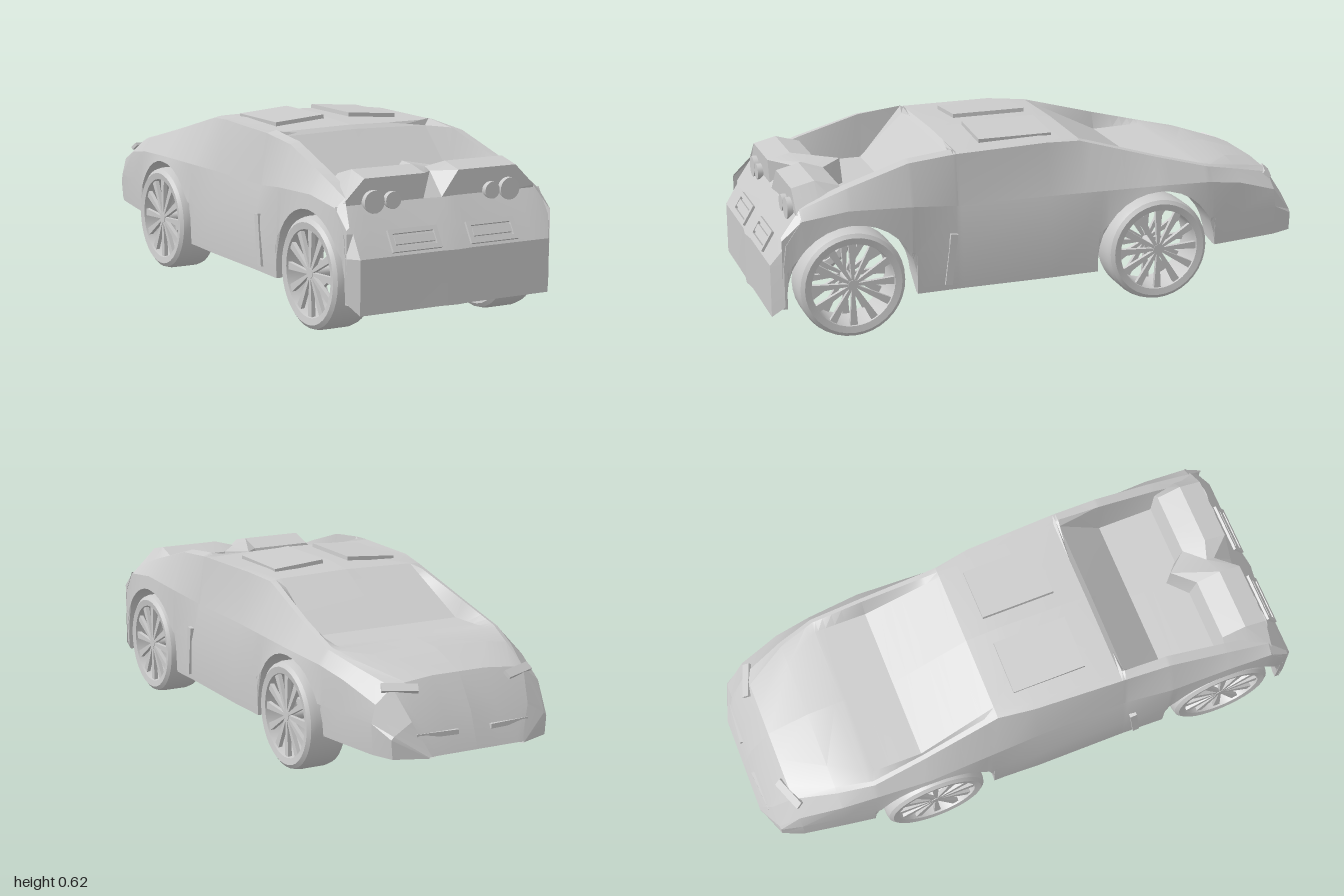
import * as THREE from 'three';
import { toCreasedNormals } from 'three/addons/utils/BufferGeometryUtils.js';

const mat = new THREE.MeshStandardMaterial({ color: 0xcccccc, side: THREE.DoubleSide });

// Surface through rows of [x, y, z] points
function grid(rows) {
  const n = rows[0].length, index = [];
  for (let i = 0; i < rows.length - 1; i++)
    for (let j = 0; j < n - 1; j++) {
      const a = i * n + j, c = a + n;
      index.push(a, a + 1, c, a + 1, c + 1, c);
    }
  const g = new THREE.BufferGeometry();
  g.setAttribute('position', new THREE.Float32BufferAttribute(rows.flat(2), 3));
  g.setIndex(index);
  return toCreasedNormals(g, 0.3);
}

function add(parent, name, geo, x = 0, y = 0, z = 0) {
  const m = new THREE.Mesh(geo, mat);
  m.name = name;
  m.position.set(x, y, z);
  parent.add(m);
  return m;
}

// Linear interpolation in a table whose first column is z
function sample(table, z) {
  let i = 0;
  while (i < table.length - 2 && z > table[i + 1][0]) i++;
  const a = table[i], b = table[i + 1];
  const t = THREE.MathUtils.clamp((z - a[0]) / (b[0] - a[0]), 0, 1);
  return a.map((v, k) => v + (b[k] - v) * t);
}

// z, flank x, waist x y, outer crest x y
const SIDE = [
  [-1, .18, .18, .178, .17, .179], [-.955, .295, .285, .25, .22, .29],
  [-.88, .325, .31, .34, .25, .39], [-.73, .35, .345, .39, .30, .43],
  [-.6, .37, .36, .41, .33, .46], [-.41, .38, .375, .42, .32, .51],
  [-.13, .38, .365, .42, .30, .59], [0, .385, .36, .42, .32, .6],
  [.33, .385, .36, .42, .335, .595], [.5, .39, .385, .44, .34, .58],
  [.72, .395, .39, .45, .35, .515], [.88, .395, .39, .43, .355, .46], [.95, .39, .39, .37, .38, .38],
];
// z, inner crest x y, deck x y, centre y
const TOP = [
  [-1, .15, .18, .08, .18, .18], [-.955, .2, .295, .1, .295, .3],
  [-.88, .2, .4, .1, .41, .41], [-.73, .28, .44, .2, .452, .458],
  [-.6, .315, .465, .28, .46, .462], [-.41, .305, .515, .28, .455, .455],
  [-.13, .28, .595, .26, .596, .602], [0, .29, .602, .14, .608, .612],
  [.32, .3, .593, .15, .597, .6], [.34, .305, .605, .29, .58, .587],
  [.5, .305, .587, .29, .43, .43], [.72, .315, .52, .29, .43, .43],
  [.88, .32, .462, .3, .42, .42], [.95, .33, .385, .3, .38, .38],
];
const ARCHES = [-.4, .71], ARCH_R = .225, ARCH_Y = .175;

// Height of the wheel arch at z, 0 outside the arches
function archY(z) {
  for (const c of ARCHES) {
    const d = ARCH_R ** 2 - (z - c) ** 2;
    if (d > 1e-9) return ARCH_Y + Math.sqrt(d);
  }
  return 0;
}

// Half section: inner return, sill, flank, waist, crests, deck, centre
function section(z, s) {
  const [, xm, xw, yw, xe, ye] = sample(SIDE, z);
  const [, xf, yf, xg, yg, yc] = sample(TOP, z);
  const arch = archY(z), yb = arch || (z < -.5 ? .175 : .13);
  const ym = Math.max(yb, Math.min(.28, yw - .01));
  return [[xm - (arch ? .1 : .025), yb], [xm - .005, yb], [xm, ym], [xw, yw], [xe, ye], [xf, yf], [xg, yg], [0, yc]]
    .map(([x, y]) => [s * x, y, z]);
}

function stations(z0, z1) {
  const zs = [z0, z1, ...SIDE.map(r => r[0]), ...TOP.map(r => r[0])];
  for (const c of ARCHES) {
    zs.push(c - ARCH_R - .001, c + ARCH_R + .001);
    for (let k = 0; k <= 16; k++) zs.push(c + (ARCH_R - .0005) * Math.cos(Math.PI * k / 16));
  }
  return [...new Set(zs)].filter(z => z >= z0 && z <= z1).sort((a, b) => a - b);
}

function strip(z0, z1, from, to, s) {
  const rows = stations(z0, z1).map(z => section(z, s).slice(from, to + 1));
  return grid(s > 0 ? rows : rows.reverse());
}

function makeWheel() {
  const w = new THREE.Group();
  const r = [[.142, -.05], [.145, -.07], [.168, -.074], [.181, -.064], [.186, -.045], [.186, .045],
    [.181, .064], [.168, .074], [.145, .07], [.142, .05], [.142, -.05]];
  const tyre = new THREE.LatheGeometry(r.map(p => new THREE.Vector2(...p)), 36);
  add(w, 'tyre', toCreasedNormals(tyre, .6)).rotation.z = -Math.PI / 2;
  add(w, 'hub', new THREE.CylinderGeometry(.018, .018, .13, 16)).rotation.z = -Math.PI / 2;
  // Tapered spokes on both faces
  for (const x of [-.056, .056])
    for (let i = 0; i < 12; i++) {
      const spoke = new THREE.BoxGeometry(.014, .13, .026);
      spoke.translate(0, .08, 0);
      const p = spoke.attributes.position;
      for (let k = 0; k < p.count; k++) if (p.getY(k) < .05) p.setZ(k, p.getZ(k) * .35);
      add(w, 'spoke', spoke, x).rotation.x = i * Math.PI / 6;
    }
  return w;
}

function frame(w, h, b, depth) {
  const rect = (C, x, y) => new C([[-x, -y], [x, -y], [x, y], [-x, y]].map(p => new THREE.Vector2(...p)));
  const shape = rect(THREE.Shape, w / 2, h / 2);
  shape.holes.push(rect(THREE.Path, w / 2 - b, h / 2 - b));
  return new THREE.ExtrudeGeometry(shape, { depth, bevelEnabled: false });
}

export function createModel() {
  const car = new THREE.Group();
  car.name = 'sportsCar';

  for (const s of [1, -1]) {
    const side = new THREE.Group();
    side.name = s > 0 ? 'leftSide' : 'rightSide';
    car.add(side);

    // Body shell
    add(side, 'flank', strip(-1, .95, 0, 3, s));
    add(side, 'frontWing', strip(-1, -.28, 3, 4, s));
    add(side, 'sideWindow', strip(-.28, .33, 3, 4, s));
    add(side, 'haunch', strip(.33, .95, 3, 4, s));
    add(side, 'hood', strip(-1, -.41, 4, 7, s));
    add(side, 'pillar', strip(-.41, -.13, 4, 6, s));
    add(side, 'windscreen', strip(-.41, -.13, 6, 7, s));
    add(side, 'roof', strip(-.13, .34, 4, 7, s));
    add(side, 'buttress', strip(.34, .88, 4, 6, s));
    add(side, 'rearWindow', strip(.34, .5, 6, 7, s));
    add(side, 'rearDeck', strip(.5, .72, 6, 7, s));

    // Door scoop
    add(side, 'sideScoop', new THREE.BoxGeometry(.02, .18, .025), s * .382, .24, .365).rotation.x = -.12;

    // Roof panel
    add(side, 'roofPanel', new THREE.BoxGeometry(.19, .014, .265), s * .145, .612, .085).rotation.z = -s * .08;

    // Headlamp and nose slot
    const lamp = add(side, 'headlamp', new THREE.BoxGeometry(.12, .012, .03), s * .225, .385, -.885);
    lamp.rotation.set(-.75, -s * .3, -s * .2);
    add(side, 'noseSlot', new THREE.BoxGeometry(.15, .016, .02), s * .135, .243, -.968).rotation.y = -s * .08;

    // Framed tail lamp
    const tail = new THREE.Group();
    tail.name = 'tailLamp';
    tail.position.set(s * .148, .32, .958);
    tail.rotation.x = -.54;
    add(tail, 'lampFrame', frame(.184, .076, .015, .012));
    add(tail, 'lampBar', new THREE.BoxGeometry(.148, .026, .012), 0, 0, .005);
    side.add(tail);

    // Round rear lamps
    for (const [x, r] of [[.26, .037], [.19, .028]])
      add(side, 'roundLamp', new THREE.CylinderGeometry(r, r, .03, 24), s * x, .442, .89).rotation.x = Math.PI / 2;

    // Wheels
    for (const z of ARCHES) {
      const wheel = makeWheel();
      wheel.name = z < 0 ? 'frontWheel' : 'rearWheel';
      wheel.position.set(s * (z < 0 ? .318 : .322), .189, z);
      side.add(wheel);
    }
  }

  // Tail panel with angled corners and a centre crease
  const xs = [.392, .36, .3, .06, 0, -.06, -.3, -.36, -.392];
  add(car, 'tailPanel', grid(xs.map(x => {
    const a = Math.abs(x), corner = a > .37, mid = a === 0 ? .008 : 0;
    return [[.10, .985], [.28, .985], [.355, .94], [.435, .885]].map(([y, z], i) =>
      [x, corner && i === 0 ? .14 : y, corner ? Math.min(z, .95) - .005 : z + mid]);
  })));

  // Ducktail lip, notched in the middle
  const lip = [[.435, .885], [.518, .89], [.537, .81], [.512, .725], [.42, .7]];
  const beak = [[.435, .893], [.51, .82], [.52, .79], [.52, .65], [.42, .64]];
  add(car, 'tailLip', grid([.365, .29, .17, .065, 0, -.065, -.17, -.29, -.365].map(x => {
    const a = Math.abs(x);
    return (a === 0 ? beak : lip).map(([y, z]) => [x, a > .3 ? Math.min(y, .445) : y, z]);
  })));

  // Cabin floor tub
  const tub = new THREE.Shape([[-.14, .2], [.14, .2], [.22, .38], [-.22, .38]].map(p => new THREE.Vector2(...p)));
  add(car, 'floorTub', new THREE.ExtrudeGeometry(tub, { depth: .46, bevelEnabled: false }), 0, 0, -.02);

  return car;
}
